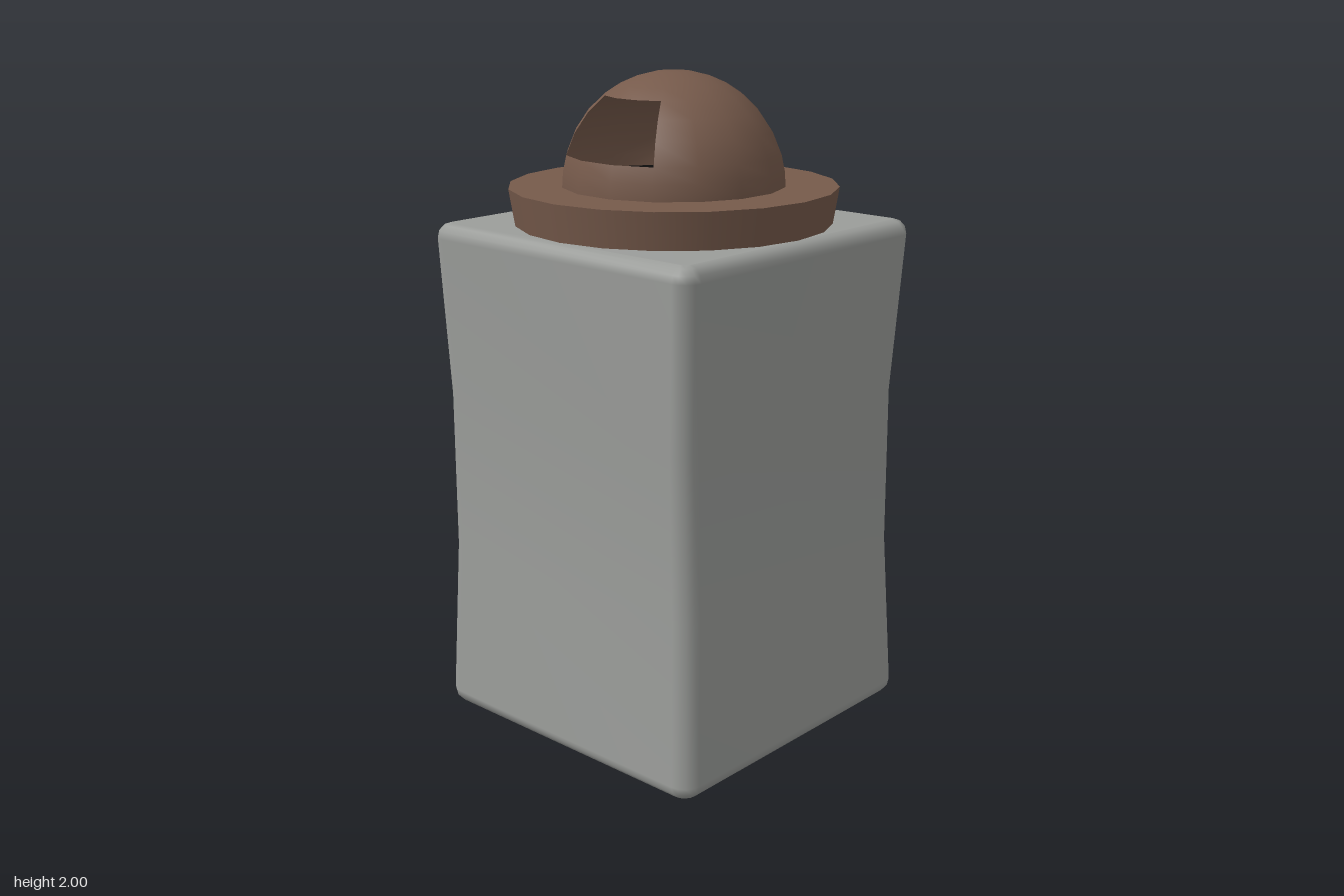
import * as THREE from 'three';
import { mergeGeometries, mergeVertices } from 'three/addons/utils/BufferGeometryUtils.js';

const stone = new THREE.MeshStandardMaterial({ color: 0x9b9d9a });
stone.name = 'grey stone';
const clay = new THREE.MeshStandardMaterial({ color: 0x765a4b, side: THREE.DoubleSide });
clay.name = 'brown clay';
const dark = new THREE.MeshStandardMaterial({ color: 0x0b0b0b });
dark.name = 'black';

function part(name, geometry, material, y = 0) {
  const mesh = new THREE.Mesh(geometry, material);
  mesh.name = name;
  mesh.position.y = y;
  return mesh;
}

// Rounded block, pinched at two rows between its ends
function bodyGeometry() {
  const h = 0.475, r = 0.02, bevel = 0.04;
  const s = new THREE.Shape();
  s.absarc(h - r, h - r, r, 0, Math.PI / 2);
  s.absarc(r - h, h - r, r, Math.PI / 2, Math.PI);
  s.absarc(r - h, r - h, r, Math.PI, Math.PI * 1.5);
  s.absarc(h - r, r - h, r, Math.PI * 1.5, Math.PI * 2);
  let g = new THREE.ExtrudeGeometry(s, {
    depth: 1.465, steps: 3, curveSegments: 2,
    bevelEnabled: true, bevelSize: bevel, bevelThickness: 0.045, bevelSegments: 3,
  });
  g.rotateX(-Math.PI / 2).translate(0, 0.045, 0);
  const p = g.attributes.position;
  for (let i = 0; i < p.count; i++) {
    const y = p.getY(i);
    if (y < 0.3 || y > 1.3) continue;
    const upper = y > 0.8;
    const x = p.getX(i), z = p.getZ(i);
    p.setX(i, x - (x > 0 ? (upper ? 0.03 : 0.021) : -0.012));
    p.setZ(i, z - (z > 0 ? 0.026 : upper ? -0.018 : -0.026));
  }
  g.deleteAttribute('normal');
  g.deleteAttribute('uv');
  g = mergeVertices(g, 1e-4);
  g.computeVertexNormals();
  return g;
}

// Hollow dome: a cap, a band left open at the window, and a base ring
function domeGeometry(radius) {
  const sides = 16, step = (Math.PI * 2) / sides, windowSides = 3;
  const start = THREE.MathUtils.degToRad(88.5) + (windowSides / 2) * step;
  const top = Math.acos(0.265 / radius), sill = Math.acos(0.095 / radius);
  const patch = (n, rows, a, b) =>
    new THREE.SphereGeometry(radius, n, rows, start, n * step, a, b - a);
  return mergeGeometries([
    patch(sides, 4, 0, top),
    patch(sides - windowSides, 3, top, sill),
    patch(sides, 2, sill, Math.PI / 2),
  ]);
}

export function createModel() {
  const group = new THREE.Group();
  group.name = 'domedPillar';
  group.add(
    part('body', bodyGeometry(), stone),
    part('lid', new THREE.CylinderGeometry(0.493, 0.475, 0.11, 20), clay, 1.61),
    part('dome', domeGeometry(0.335), clay, 1.665),
    // Dark floor inside the dome
    part('domeFloor', new THREE.CylinderGeometry(0.325, 0.325, 0.008, 16), dark, 1.672),
  );
  return group;
}
